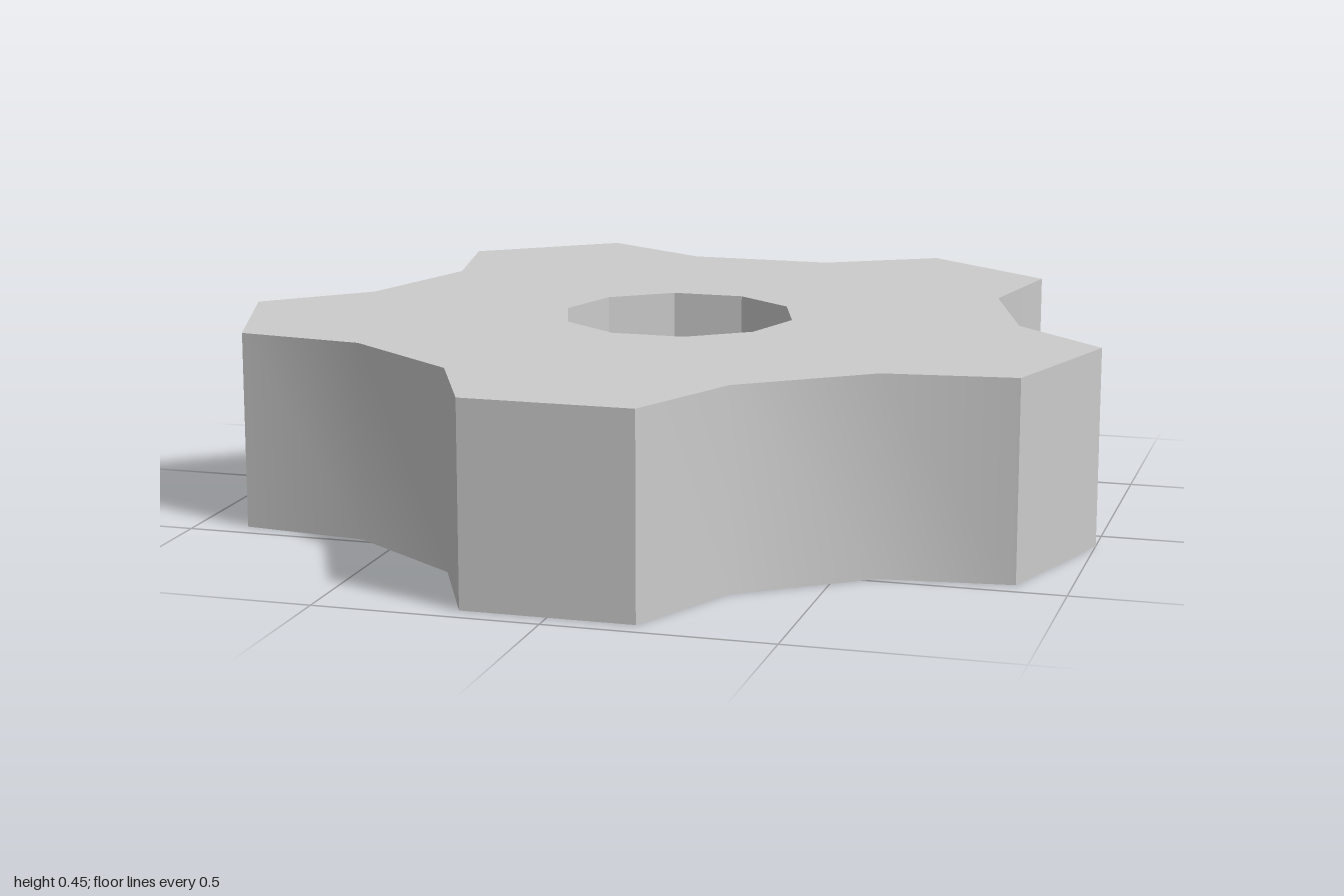
import * as THREE from 'three';
import { toCreasedNormals } from 'three/addons/utils/BufferGeometryUtils.js';

const LOBES = 5, HEIGHT = 0.45, CENTRE_Z = -0.0385;
const TIP = { radius: 1.008, angle: 0.19 };      // corners of each flat lobe end
const VALLEY = { radius: 0.787, angle: 0.41 };   // corners of each scoop between lobes
const HOLE = { radius: 0.27, sides: 10 };

// Plan point at an angle measured from the front (+z) towards +x
const polar = (r, a) => new THREE.Vector2(r * Math.sin(a), -r * Math.cos(a));

export function createModel() {
  const group = new THREE.Group();
  group.name = 'starKnob';

  // Five-lobed outline
  const outline = [];
  for (let i = 0; i < LOBES; i++) {
    const a = (i / LOBES) * Math.PI * 2;
    outline.push(
      polar(VALLEY.radius, a - VALLEY.angle),
      polar(TIP.radius, a - TIP.angle),
      polar(TIP.radius, a + TIP.angle),
      polar(VALLEY.radius, a + VALLEY.angle),
    );
  }
  const shape = new THREE.Shape(outline);

  // Ten-sided centre hole with corners on the x axis
  const hole = [];
  for (let i = 0; i < HOLE.sides; i++) {
    hole.push(polar(HOLE.radius, Math.PI / 2 - (i / HOLE.sides) * Math.PI * 2));
  }
  shape.holes.push(new THREE.Path(hole));

  // Scoops are smooth; lobe ends, rims and hole facets stay sharp
  const solid = new THREE.ExtrudeGeometry(shape, { depth: HEIGHT, bevelEnabled: false });
  solid.rotateX(-Math.PI / 2);
  const body = new THREE.Mesh(
    toCreasedNormals(solid, THREE.MathUtils.degToRad(33)),
    new THREE.MeshStandardMaterial({ color: 0xcccccc }),
  );
  body.name = 'knobBody';
  body.position.z = CENTRE_Z;
  group.add(body);
  return group;
}
